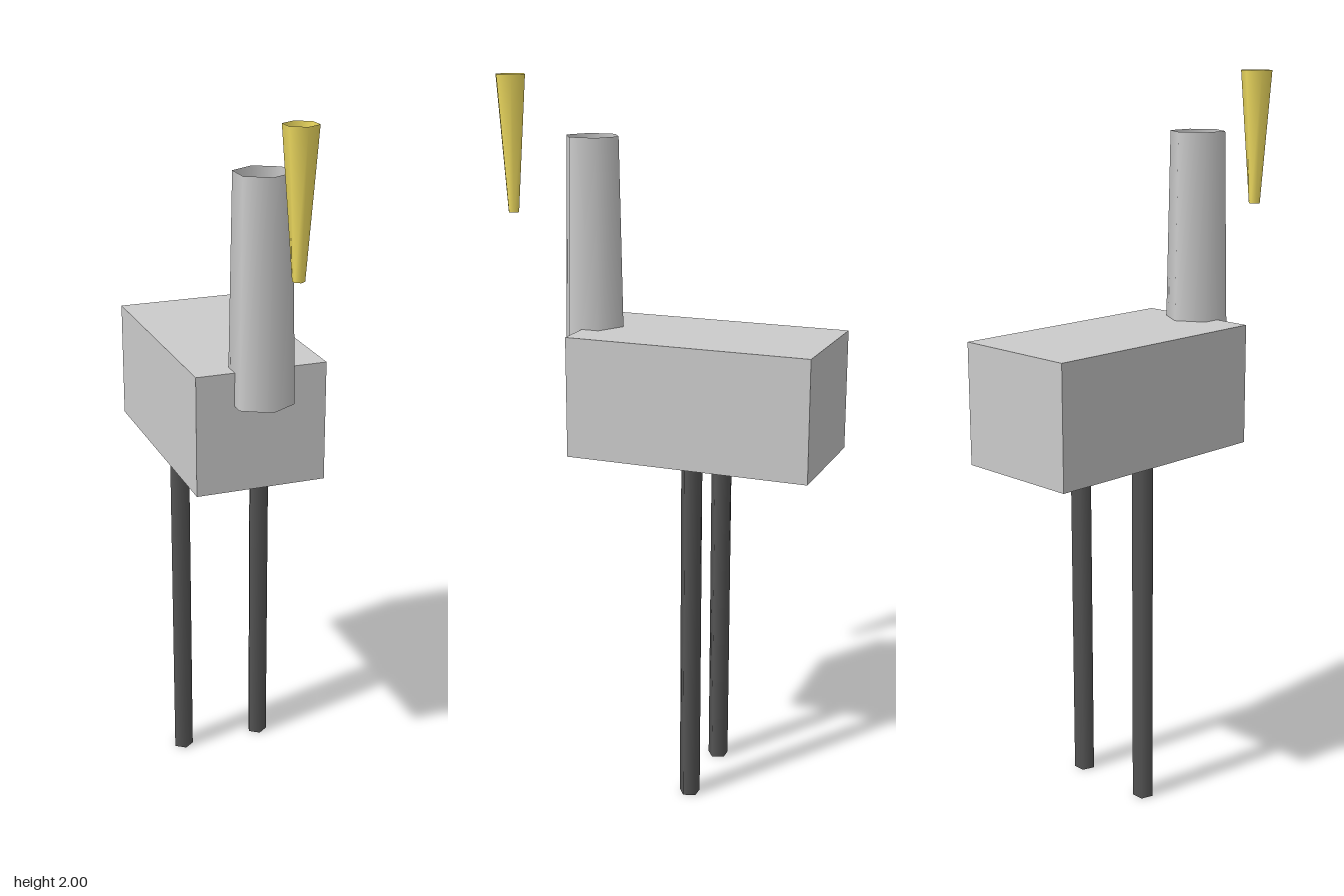
import * as THREE from 'three';

export function createModel() {
  const model = new THREE.Group();
  const material = (color) => new THREE.MeshStandardMaterial({ color, side: THREE.DoubleSide });
  const grey = material(0xcccccc);
  const darkGrey = material(0x555555);
  const yellow = material(0xf0dc60);

  function add(name, geometry, mat, x, y, z) {
    const mesh = new THREE.Mesh(geometry, mat);
    mesh.name = name;
    mesh.position.set(x, y, z);
    model.add(mesh);
  }

  // Open-ended tapered tube standing between two heights
  function tube(name, rTop, rBottom, y0, y1, sides, mat, x, z) {
    const geometry = new THREE.CylinderGeometry(rTop, rBottom, y1 - y0, sides, 1, true);
    add(name, geometry, mat, x, (y0 + y1) / 2, z);
  }

  // Box body
  add('body', new THREE.BoxGeometry(0.366, 0.335, 0.685), grey, 0, 1.157, -0.142);

  // Hexagonal neck, set half into the front of the body
  tube('neck', 0.077, 0.089, 1.233, 1.843, 6, grey, 0, 0.195);

  // Narrow beak cone, floating ahead of the neck
  tube('beak', 0.045, 0.016, 1.625, 2, 6, yellow, 0, 0.438);

  // Thin legs
  for (const [name, side] of [['leftLeg', 1], ['rightLeg', -1]]) {
    tube(name, 0.03, 0.03, 0, 0.995, 5, darkGrey, side * 0.122, -0.142);
  }

  return model;
}
